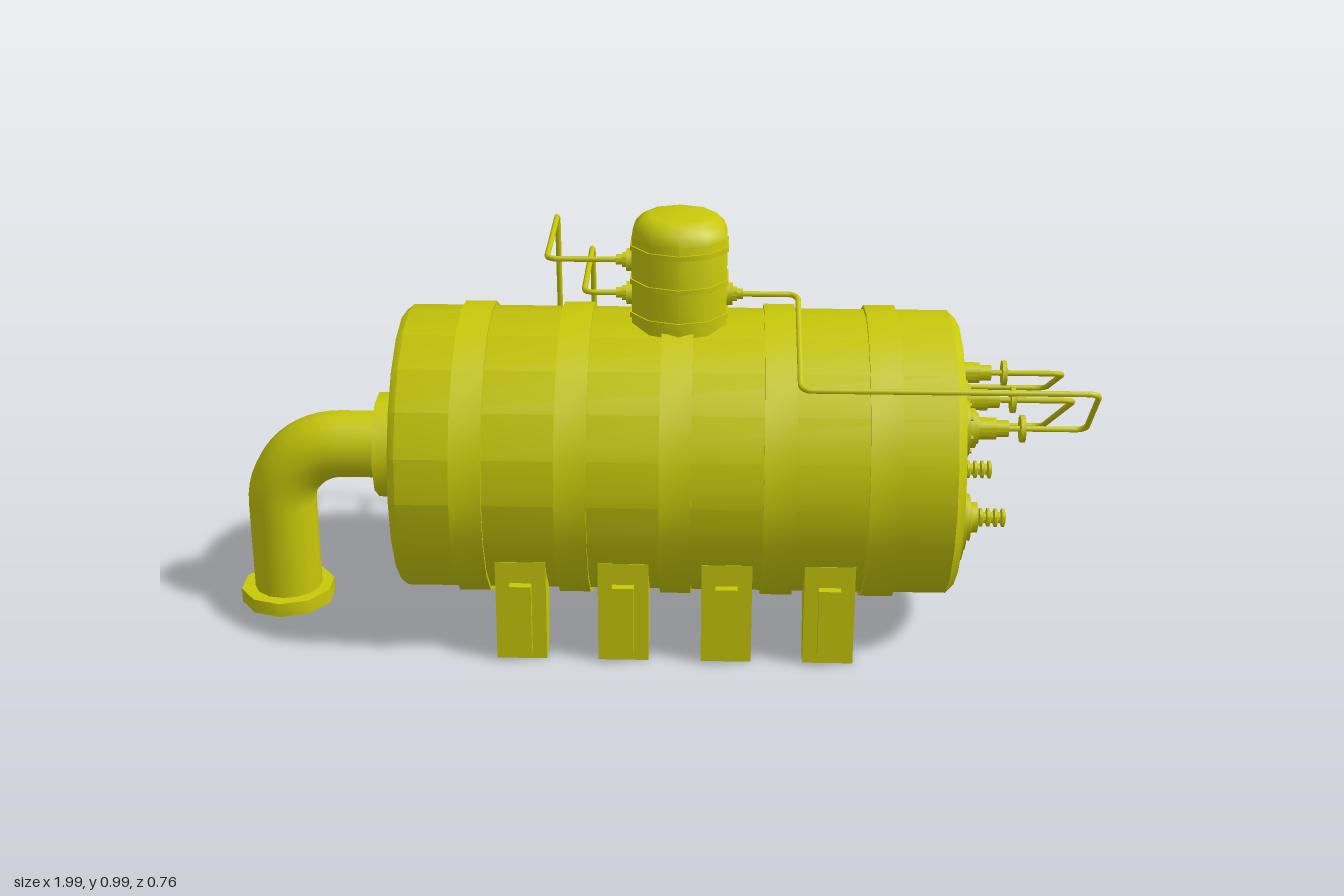
import * as THREE from 'three';
import { toCreasedNormals } from 'three/addons/utils/BufferGeometryUtils.js';

const CZ = 0.035; // z of the tank axis
const CY = 0.41;  // height of the tank axis
const paint = new THREE.MeshStandardMaterial({ color: 0xc8c80a, side: THREE.DoubleSide });

export function createModel() {
  const model = new THREE.Group();

  const add = (name, geometry, parent = model) => {
    const mesh = new THREE.Mesh(geometry, paint);
    mesh.name = name;
    parent.add(mesh);
    return mesh;
  };

  // Turned part: profile of [radius, distance along axis]; axis is 'y', 'x' or '-x'
  const turned = (name, profile, sides, axis, x, y, z, parent = model) => {
    const g = new THREE.LatheGeometry(profile.map(([r, t]) => new THREE.Vector2(r, t)), sides);
    if (axis === 'x') g.rotateZ(-Math.PI / 2);
    if (axis === '-x') g.rotateZ(Math.PI / 2);
    const mesh = add(name, toCreasedNormals(g, 0.68), parent);
    mesh.position.set(x, y, z);
    return mesh;
  };

  // Pipe along straight runs with rounded corners
  const pipe = (name, points, radius, bend, segments, sides) => {
    const p = points.map((a) => new THREE.Vector3(...a));
    const path = new THREE.CurvePath();
    let from = p[0];
    for (let i = 1; i < p.length - 1; i++) {
      const toward = (q) => p[i].clone().add(q.clone().sub(p[i]).setLength(bend));
      const a = toward(p[i - 1]), b = toward(p[i + 1]);
      const k = 0.55;
      path.add(new THREE.LineCurve3(from, a));
      path.add(new THREE.CubicBezierCurve3(a, a.clone().lerp(p[i], k), b.clone().lerp(p[i], k), b));
      from = b;
    }
    path.add(new THREE.LineCurve3(from, p[p.length - 1]));
    return add(name, new THREE.TubeGeometry(path, segments, radius, sides), model);
  };

  // Tank with bevelled ends
  turned('tank', [[0, -0.575], [0.322, -0.575], [0.335, -0.558], [0.335, 0.695], [0.315, 0.715], [0, 0.715]],
    20, 'x', 0, CY, CZ);
  for (let i = 0; i < 5; i++) {
    turned('tankBand', [[0.33, -0.036], [0.345, -0.036], [0.345, 0.036], [0.33, 0.036]],
      20, 'x', -0.4 + i * 0.234, CY, CZ);
  }

  // Dome with thin hoops
  turned('dome', [[0.114, 0.7], [0.114, 0.945], [0.106, 0.967], [0.088, 0.985], [0.07, 0.99], [0, 0.99]],
    10, 'y', 0.07, 0, CZ);
  for (const y of [0.76, 0.84, 0.92]) {
    turned('domeHoop', [[0.112, -0.006], [0.118, -0.006], [0.118, 0.006], [0.112, 0.006]], 10, 'y', 0.07, y, CZ);
  }

  // Small pipe sockets on the dome
  const socket = [[0.026, -0.02], [0.026, 0.008], [0.017, 0.008], [0.017, 0.018], [0.012, 0.018], [0.012, 0.032], [0, 0.032]];
  turned('domeSocket', socket, 10, 'x', 0.184, 0.8, CZ);
  turned('domeSocket', socket, 10, '-x', -0.044, 0.8, CZ);
  turned('domeSocket', socket, 10, '-x', -0.044, 0.88, CZ);

  // Large outlet: collar, elbow pipe and foot flange
  turned('outletCollar', [[0, -0.643], [0.125, -0.643], [0.125, -0.57]], 10, 'x', 0, CY, CZ);
  pipe('outletPipe', [[-0.62, CY, CZ], [-0.885, CY, CZ], [-0.885, 0.015, CZ]], 0.081, 0.15, 32, 14);
  turned('outletFlange', [[0.083, 0.035], [0.083, 0], [0.113, 0], [0.113, 0.035], [0.078, 0.035]],
    10, 'y', -0.887, 0, CZ);

  // Legs, mirrored front to back about the tank axis
  const side = new THREE.Shape([[0.29, 0], [0.29, 0.248], [0.2, 0.248], [0.195, 0.125], [0.235, 0]]
    .map(([z, y]) => new THREE.Vector2(z, y)));
  for (const x of [-0.285, -0.05, 0.187, 0.422]) {
    for (const dir of [1, -1]) {
      const leg = new THREE.Group();
      leg.name = 'leg';
      leg.position.set(x, 0, CZ);
      leg.rotation.y = dir > 0 ? 0 : Math.PI;
      model.add(leg);
      const g = new THREE.ExtrudeGeometry(side, { depth: 0.116, bevelEnabled: false });
      g.translate(0, 0, -0.058).rotateY(-Math.PI / 2);
      add('legBody', g, leg);
      add('legRib', new THREE.BoxGeometry(0.05, 0.168, 0.04), leg).position.set(0, 0.111, 0.29);
    }
  }

  // Three bolted pipe ports on the upper end face
  for (const z of [0.205, CZ, -0.135]) {
    const port = new THREE.Group();
    port.name = 'upperPort';
    port.position.set(0.715, 0.545, z);
    model.add(port);
    turned('portFlange', [[0.065, -0.01], [0.065, 0.012], [0.045, 0.012], [0.045, 0.028], [0.036, 0.028],
      [0.036, 0.034], [0.025, 0.034], [0.025, 0.075], [0.019, 0.075], [0.019, 0.103], [0, 0.103]], 16, 'x', 0, 0, 0, port);
    turned('portCollar', [[0, 0.129], [0.031, 0.129], [0.031, 0.14], [0, 0.14]], 12, 'x', 0, 0, 0, port);
    for (let i = 0; i < 8; i++) {
      const a = (i * Math.PI) / 4;
      turned('bolt', [[0.005, 0], [0.005, 0.018], [0, 0.018]], 6, 'x', 0, 0.056 * Math.cos(a), 0.056 * Math.sin(a), port);
    }
  }

  // Two stepped lower ports with ribbed spouts
  const spout = [[0.102, -0.01], [0.102, 0.012], [0.092, 0.012], [0.092, 0.008], [0.078, 0.008], [0.078, 0.02],
    [0.056, 0.02], [0.056, 0.032], [0.045, 0.032], [0.036, 0.036], [0.036, 0.05], [0.016, 0.05]];
  for (let i = 0; i < 4; i++) {
    const t = 0.053 + i * 0.017;
    spout.push([0.013, t], [0.022, t + 0.003], [0.022, t + 0.009], [0.013, t + 0.012]);
  }
  spout.push([0, 0.117]);
  for (const z of [0.17, -0.1]) turned('lowerPort', spout, 14, 'x', 0.715, 0.305, z);

  // Thin pipes running from the dome to the upper ports
  const thin = (name, points) => pipe(name, points, 0.0068, 0.022, 260, 8);
  thin('frontPipe', [[0.18, 0.8, CZ], [0.342, 0.8, CZ], [0.342, 0.685, 0.337],
    [0.992, 0.685, 0.337], [0.992, 0.545, 0.205], [0.78, 0.545, 0.205]]);
  thin('rearLowerPipe', [[-0.04, 0.88, CZ], [-0.235, 0.88, CZ], [-0.235, 0.88, -0.303], [-0.235, 0.305, -0.376],
    [0.992, 0.305, -0.376], [0.992, 0.545, CZ], [0.78, 0.545, CZ]]);
  thin('rearUpperPipe', [[-0.04, 0.8, CZ], [-0.15, 0.8, CZ], [-0.15, 0.8, -0.303], [-0.15, 0.41, -0.376],
    [0.992, 0.41, -0.376], [0.992, 0.545, -0.135], [0.78, 0.545, -0.135]]);

  return model;
}
